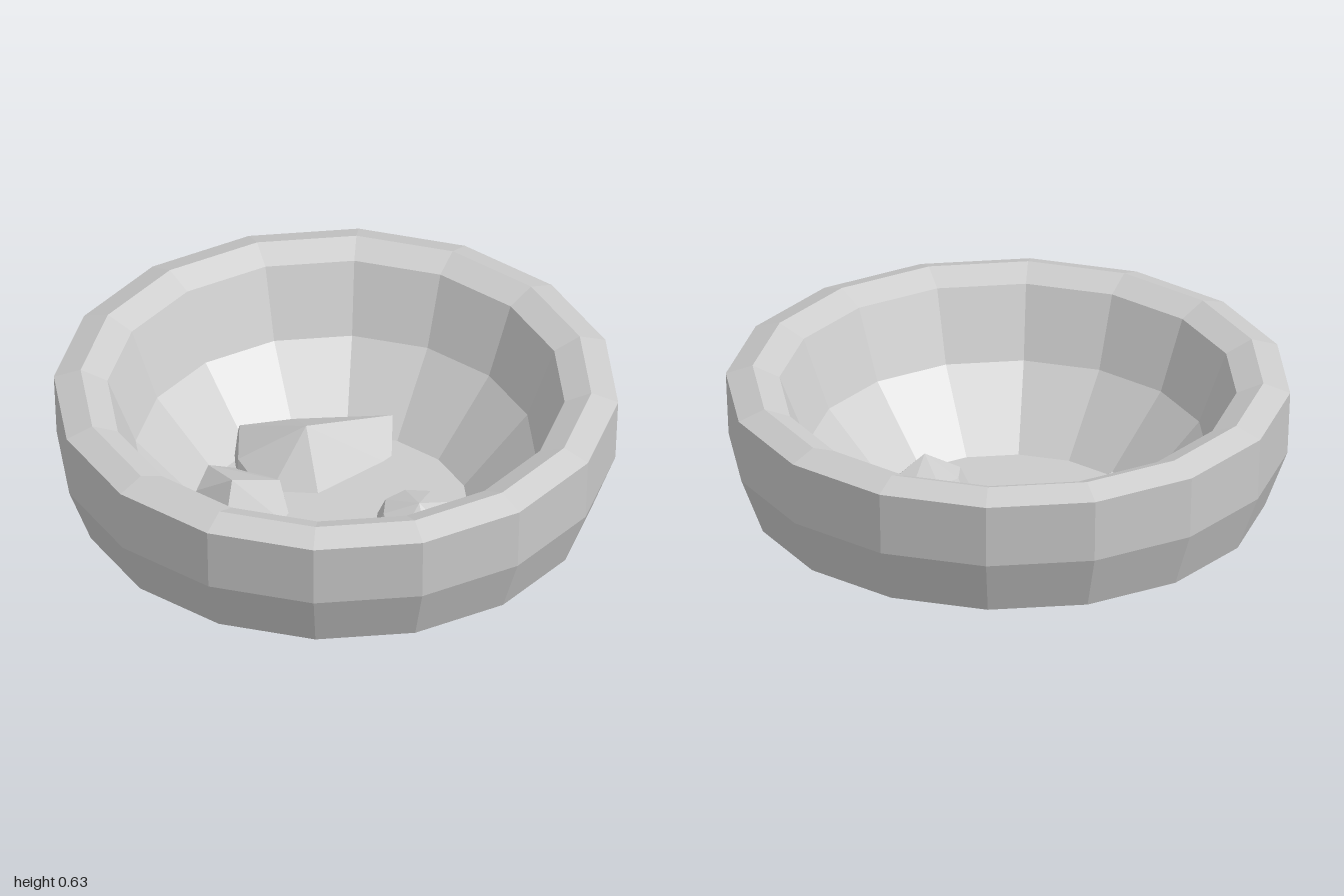
import * as THREE from 'three';
import { ConvexGeometry } from 'three/addons/geometries/ConvexGeometry.js';

const material = new THREE.MeshStandardMaterial({ color: 0xcccccc, flatShading: true });

function addMesh(group, name, geometry) {
  const mesh = new THREE.Mesh(geometry, material);
  mesh.name = name;
  group.add(mesh);
}

// Convex chunk through a handful of corner points
function chunk(points) {
  return new ConvexGeometry(points.map(p => new THREE.Vector3(...p)));
}

export function createModel() {
  const group = new THREE.Group();

  // Thick-walled bowl: outer wall, bevelled rim, inner wall and floor
  const profile = [
    [0, 0], [0.59, 0], [0.91, 0.15], [0.99, 0.36], [1, 0.595], [0.905, 0.63],
    [0.81, 0.588], [0.71, 0.335], [0.475, 0.08], [0, 0.08],
  ].map(p => new THREE.Vector2(...p));
  addMesh(group, 'bowl', new THREE.LatheGeometry(profile, 16));

  // Large chunk, with a ridge along its front
  addMesh(group, 'largeChunk', chunk([
    [-0.26, 0.14, -0.32], [-0.03, 0.28, -0.25], [0.33, 0.17, -0.37],
    [-0.2, 0.16, -0.49], [0, 0.145, -0.49], [0.17, 0.14, -0.455],
    [-0.23, 0.06, -0.48], [0.3, 0.06, -0.38], [0.28, 0.06, -0.23],
    [-0.03, 0.06, -0.1], [-0.2, 0.06, -0.17], [-0.27, 0.06, -0.3],
  ]));

  // Medium chunk beside it
  addMesh(group, 'mediumChunk', chunk([
    [-0.36, 0.23, -0.08], [-0.38, 0.16, -0.29], [-0.16, 0.14, -0.15],
    [-0.46, 0.14, -0.18], [-0.33, 0.07, -0.35], [-0.24, 0.07, -0.36],
    [-0.17, 0.05, 0.03], [-0.42, 0.06, 0.01], [-0.47, 0.07, -0.18], [-0.14, 0.05, -0.15],
  ]));

  // Small rounded chunk: octagonal body, upper shoulder and an off-centre peak
  const small = [[0.225, 0.23, 0.26]];
  for (let i = 0; i < 8; i++) {
    const a = i * Math.PI / 4, c = Math.cos(a), s = Math.sin(a);
    small.push([0.225 + 0.15 * c, 0.11, 0.215 + 0.15 * s]);
    small.push([0.225 + 0.12 * c, 0.05, 0.215 + 0.12 * s]);
    if (s < 0.1) small.push([0.225 + 0.118 * c, 0.18, 0.215 + 0.118 * s]);
  }
  addMesh(group, 'smallChunk', chunk(small));

  return group;
}
